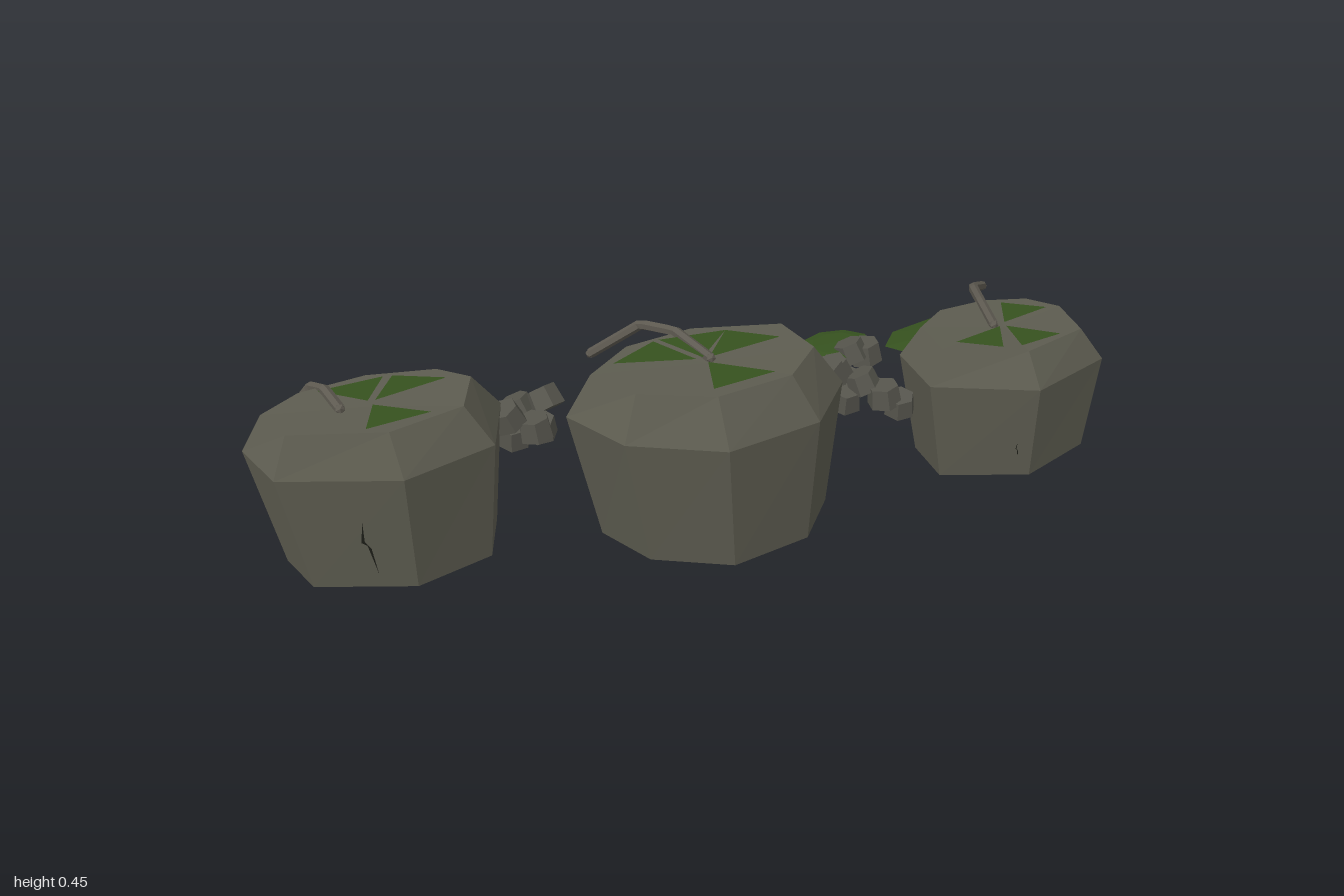
import * as THREE from 'three';

const RAD = Math.PI / 180;

const mat = (name, color, side = THREE.FrontSide) => {
  const m = new THREE.MeshStandardMaterial({ color, side, flatShading: true });
  m.name = name;
  return m;
};

function facets(coords) {
  const g = new THREE.BufferGeometry();
  g.setAttribute('position', new THREE.Float32BufferAttribute(coords, 3));
  g.computeVertexNormals();
  return g;
}

// Faceted boulder: base, shoulder and crown rings share one list of corners [angle, reach]
function boulderGeometry({ x, y, z, rx, rz, baseY, topY, tilt, base, corners }) {
  const ring = (h, [dx, dz, sx, sz], lean) => corners.map(([d, reach]) => {
    const c = reach * Math.cos(d * RAD), s = reach * Math.sin(d * RAD);
    return [x + dx + rx * sx * c, h + lean * c, z + dz + rz * sz * s];
  });
  const loops = [ring(baseY, base, 0), ring(y, [0, 0, 1, 1], tilt), ring(topY, [-0.008, 0, 0.8, 0.7], tilt)];
  const foot = [x, baseY, z], crown = [x, topY - 0.006, z];
  const out = [];
  const tri = (a, b, c) => out.push(...a, ...b, ...c);
  for (let i = 0; i < corners.length; i++) {
    const j = (i + 1) % corners.length;
    for (let r = 0; r < 2; r++) {
      const lo = loops[r], hi = loops[r + 1];
      tri(lo[i], hi[i], lo[j]);
      tri(lo[j], hi[i], hi[j]);
    }
    tri(foot, loops[0][i], loops[0][j]);
    tri(crown, loops[2][j], loops[2][i]);
  }
  return facets(out);
}

// Flat moss wedges fanning out from the middle of the crown
function mossGeometry({ x, z, rx, rz, topY, tilt, wedges }) {
  const out = [];
  for (const w of wedges) {
    for (const [r, turn] of [[0.08, 0], [0.82, 22], [0.82, -22]]) {
      const c = r * Math.cos((w + turn) * RAD), s = r * Math.sin((w + turn) * RAD);
      out.push(x - 0.008 + 0.8 * rx * c, topY + 0.004 + tilt * c, z + 0.7 * rz * s);
    }
  }
  return facets(out);
}

// Jointed root lying over the crown and hanging off the back
function makeRoot([x0, z0, x1, z1], topY, material) {
  const radius = 0.012, endY = 0.3;
  const pts = [[0, 0, 0], [0.2, 0.4, -0.05], [0.45, 0.75, 0.2], [1, 1, 1]].map(([u, v, drop]) =>
    new THREE.Vector3(x0 + (x1 - x0) * u, topY + (endY - topY) * drop, z0 + (z1 - z0) * v));
  const path = new THREE.CurvePath();
  for (let i = 0; i < 3; i++) path.add(new THREE.LineCurve3(pts[i], pts[i + 1]));
  const group = new THREE.Group();
  group.add(new THREE.Mesh(new THREE.TubeGeometry(path, 16, radius, 6), material));
  for (const p of [pts[0], pts[3]]) {
    const cap = new THREE.Mesh(new THREE.IcosahedronGeometry(radius, 0), material);
    cap.position.copy(p);
    group.add(cap);
  }
  return group;
}

export function createModel() {
  const model = new THREE.Group();
  const rock = mat('weathered stone', 0x5d5c50);
  const rubble = mat('rubble stone', 0x56554d);
  const bark = mat('root bark', 0x5e5a51);
  const moss = mat('moss', 0x36521f, THREE.DoubleSide);
  const dark = mat('crack', 0x1d1e18, THREE.DoubleSide);
  const add = (obj, name) => { obj.name = name; model.add(obj); return obj; };

  const mossLens = (x, y, z, rx, rz) => {
    const m = new THREE.Mesh(new THREE.SphereGeometry(1, 9, 4), moss);
    m.scale.set(rx, 0.006, rz);
    m.position.set(x, y, z);
    return m;
  };

  const buildBoulder = (name, b) => {
    add(new THREE.Mesh(boulderGeometry(b), rock), name + 'Boulder');
    add(new THREE.Mesh(mossGeometry(b), moss), name + 'MossPatches');
    add(mossLens(...b.shelf), name + 'MossShelf');
    add(makeRoot(b.root, b.topY, bark), name + 'Root');
  };
  buildBoulder('centre', {
    x: 0.002, y: 0.325, z: 0.064, rx: 0.32, rz: 0.213, baseY: 0, topY: 0.427, tilt: -0.003,
    base: [0.022, 0.001, 0.845, 0.88],
    corners: [[7, 1], [51, 1], [95, 1], [143, 0.9], [190, 1], [235, 0.96], [275, 1], [322, 1.12]],
    wedges: [74, 226, 274, 318],
    shelf: [0.045, 0.27, -0.065, 0.265, 0.125], root: [0.013, 0.055, -0.17, -0.265],
  });
  buildBoulder('right', {
    x: -0.714, y: 0.318, z: -0.04, rx: 0.297, rz: 0.175, baseY: 0.02, topY: 0.409, tilt: 0.002,
    base: [0.012, 0.005, 0.845, 0.82],
    corners: [[-17, 1], [39, 1], [86, 1], [149, 0.92], [199, 1], [235, 1], [273, 1], [312, 1.03]],
    wedges: [76, 262, 312],
    shelf: [-0.66, 0.265, -0.14, 0.2, 0.1], root: [-0.785, -0.043, -0.875, -0.245],
  });
  buildBoulder('left', {
    x: 0.765, y: 0.275, z: 0.03, rx: 0.255, rz: 0.183, baseY: 0.03, topY: 0.352, tilt: -0.01,
    base: [0.008, 0.02, 0.845, 0.81],
    corners: [[-24, 1], [30, 1], [90, 1], [151, 1.07], [200, 1], [238, 1], [275, 1], [306, 1.05]],
    wedges: [70, 130, 310],
    shelf: [0.73, 0.265, -0.11, 0.205, 0.09], root: [0.74, 0.02, 0.86, -0.25],
  });
  add(mossLens(0.42, 0.265, -0.16, 0.09, 0.068), 'looseMossPad');

  // Rubble strung between the boulders, staggered up and down
  const strand = (name, count, from, to, spread) => {
    const group = add(new THREE.Group(), name);
    const a = new THREE.Vector3(...from), b = new THREE.Vector3(...to);
    for (let i = 0; i < count; i++) {
      const size = 0.04 + 0.003 * Math.sin(i * 3);
      const stone = new THREE.Mesh(new THREE.CylinderGeometry(size * 0.88, size, size * 1.2, 6), rubble);
      stone.position.lerpVectors(a, b, i / (count - 1));
      stone.position.y += 0.035 * Math.cos(i * 2.6);
      stone.position.z += spread * Math.sin(i * 2.1 + 1);
      stone.rotation.set(0.4 * Math.sin(i * 2.3), i * 1.7, 0.4 * Math.cos(i * 1.9));
      stone.name = 'rubbleStone';
      group.add(stone);
    }
  };
  strand('rightRubble', 6, [-0.42, 0.25, -0.12], [-0.32, 0.25, -0.1], 0.04);
  strand('leftFrontRubble', 5, [0.335, 0.255, -0.02], [0.49, 0.225, 0.05], 0.012);
  strand('leftBackRubble', 4, [0.36, 0.24, -0.05], [0.48, 0.25, -0.14], 0.015);

  // Thin jagged cracks on the front faces
  const crackShape = new THREE.Shape([[0, 0.5], [-0.06, 0.1], [0.02, 0.05], [0.12, -0.5], [0.07, 0], [-0.01, 0.12]]
    .map(([u, v]) => new THREE.Vector2(u, v)));
  const crack = (name, x, y, z, height, turn) => {
    const m = add(new THREE.Mesh(new THREE.ShapeGeometry(crackShape), dark), name);
    m.scale.setScalar(height);
    m.position.set(x, y, z);
    m.rotation.set(0.1, turn, 0, 'YXZ');
  };
  crack('rightCrack', -0.785, 0.15, 0.11, 0.15, -0.38);
  crack('leftCrack', 0.727, 0.112, 0.203, 0.05, -0.3);

  return model;
}
